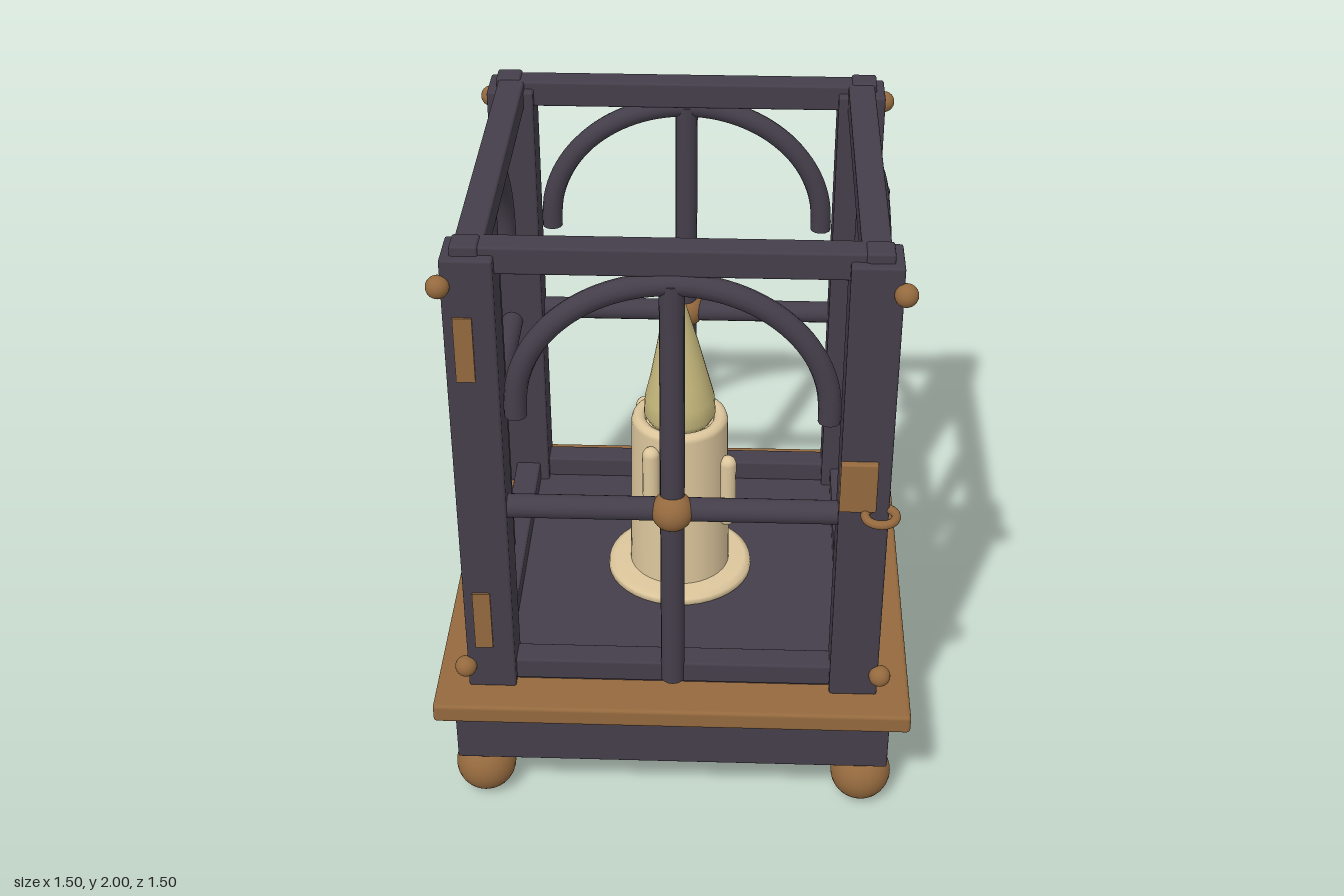
import * as THREE from 'three';
import { RoundedBoxGeometry } from 'three/addons/geometries/RoundedBoxGeometry.js';

const mat = (name, color) => {
  const m = new THREE.MeshStandardMaterial({ color });
  m.name = name;
  return m;
};

export function createModel() {
  const iron = mat('dark iron', 0x443e4a);
  const brass = mat('aged brass', 0x94693e);
  const wax = mat('candle wax', 0xdcc69c);
  const glow = mat('flame', 0xc6b87c);
  const model = new THREE.Group();
  model.name = 'lantern';

  const add = (parent, name, geo, material, x = 0, y = 0, z = 0) => {
    const mesh = new THREE.Mesh(geo, material);
    mesh.name = name;
    mesh.position.set(x, y, z);
    parent.add(mesh);
    return mesh;
  };
  const box = (w, h, d, r = 0.008) => new RoundedBoxGeometry(w, h, d, 2, r);
  const ball = (r) => new THREE.SphereGeometry(r, 28, 18);

  // Base: plinth, ledge and floor
  add(model, 'plinth', box(1.38, 0.2, 1.38, 0.006), iron, 0, 0.277, 0);
  add(model, 'ledge', box(1.5, 0.065, 1.5, 0.012), brass, 0, 0.408, 0);
  add(model, 'floor', new THREE.BoxGeometry(1.2, 0.02, 1.2), iron, 0, 0.442, 0);

  // Corners: foot, post, studs and top block
  for (const sx of [-1, 1]) {
    for (const sz of [-1, 1]) {
      const corner = new THREE.Group();
      corner.name = 'corner';
      add(corner, 'foot', ball(0.097), brass, sx * 0.612, 0.097, sz * 0.612);
      add(corner, 'post', box(0.15, 1.53, 0.15), iron, sx * 0.57, 1.205, sz * 0.57);
      add(corner, 'topBlock', box(0.08, 0.09, 0.08), iron, sx * 0.578, 1.955, sz * 0.578);
      for (const y of [0.525, 1.89]) {
        add(corner, 'stud', ball(0.034), brass, sx * 0.65, y, sz * 0.65);
      }
      model.add(corner);
    }
  }

  // Arch centre line, slightly straightened at the springing
  const archPoints = [new THREE.Vector3(-0.457, 1.44, 0)];
  for (let i = 0; i <= 16; i++) {
    const a = Math.PI * (1 - i / 16);
    archPoints.push(new THREE.Vector3(0.457 * Math.cos(a), 1.475 + 0.41 * Math.sin(a), 0));
  }
  archPoints.push(new THREE.Vector3(0.457, 1.44, 0));
  const archCurve = new THREE.CatmullRomCurve3(archPoints);

  // Four identical open sides
  for (let i = 0; i < 4; i++) {
    const side = new THREE.Group();
    side.name = 'side';
    side.rotation.y = i * Math.PI / 2;
    add(side, 'topRail', box(1.22, 0.085, 0.085), iron, 0, 1.952, 0.568);
    add(side, 'bottomRail', box(1.1, 0.075, 0.085), iron, 0, 0.485, 0.568);
    add(side, 'arch', new THREE.TubeGeometry(archCurve, 56, 0.034, 12), iron, 0, 0, 0.6);
    for (const s of [-1, 1]) {
      const cap = add(side, 'archEnd', new THREE.CircleGeometry(0.034, 12), iron, s * 0.457, 1.44, 0.6);
      cap.rotation.x = Math.PI / 2;
    }
    add(side, 'mullion', new THREE.CylinderGeometry(0.037, 0.037, 1.43, 16), iron, 0, 1.175, 0.6);
    const transom = add(side, 'transom', new THREE.CylinderGeometry(0.037, 0.037, 1.02, 16), iron, 0, 1.115, 0.6);
    transom.rotation.z = Math.PI / 2;
    add(side, 'boss', ball(0.064), brass, 0, 1.115, 0.61);
    model.add(side);
  }

  // Door hinges and latch on the front
  for (const y of [0.708, 1.685]) {
    add(model, 'hinge', new THREE.BoxGeometry(0.055, 0.21, 0.02), brass, -0.588, y, 0.642);
  }
  add(model, 'latchPlate', box(0.11, 0.17, 0.04, 0.006), brass, 0.55, 1.245, 0.645);
  const ring = add(model, 'latchRing', new THREE.TorusGeometry(0.046, 0.014, 10, 28), brass, 0.618, 1.155, 0.67);
  ring.rotation.x = Math.PI / 2;

  // Candle with dish, melted rim and drips
  const candle = new THREE.Group();
  candle.name = 'candle';
  const lathe = (pts, seg = 40) =>
    new THREE.LatheGeometry(pts.map(([r, y]) => new THREE.Vector2(r, y)), seg);
  add(candle, 'dish', lathe([[0, 0.45], [0.225, 0.45], [0.243, 0.465], [0.24, 0.485], [0.22, 0.495], [0, 0.5]]), wax);
  add(candle, 'body', new THREE.CylinderGeometry(0.158, 0.167, 0.56, 40), wax, 0, 0.77, 0);
  const rim = add(candle, 'meltedRim', new THREE.TorusGeometry(0.134, 0.024, 10, 40), wax, 0, 1.05, 0);
  rim.rotation.x = Math.PI / 2;
  const drips = [
    [0.16, 0.07, 0.68, 0.95],
    [-0.088, 0.148, 0.82, 1.03],
    [0.078, -0.15, 0.89, 1.06],
    [-0.122, -0.122, 0.78, 1.05],
  ];
  for (const [x, z, y0, y1] of drips) {
    add(candle, 'drip', new THREE.CapsuleGeometry(0.028, y1 - y0 - 0.056, 6, 14), wax, x, (y0 + y1) / 2, z);
  }

  // Flame, its tip leaning slightly sideways
  const flame = lathe([[0, 1.04], [0.1, 1.05], [0.117, 1.08], [0.113, 1.14], [0.093, 1.22], [0.066, 1.34], [0.036, 1.47], [0.012, 1.55], [0, 1.575]], 32);
  const p = flame.attributes.position;
  for (let i = 0; i < p.count; i++) {
    const t = Math.max(0, (p.getY(i) - 1.1) / 0.475);
    p.setX(i, p.getX(i) - 0.024 * t * t);
  }
  flame.computeVertexNormals();
  add(candle, 'flame', flame, glow);
  model.add(candle);

  return model;
}
